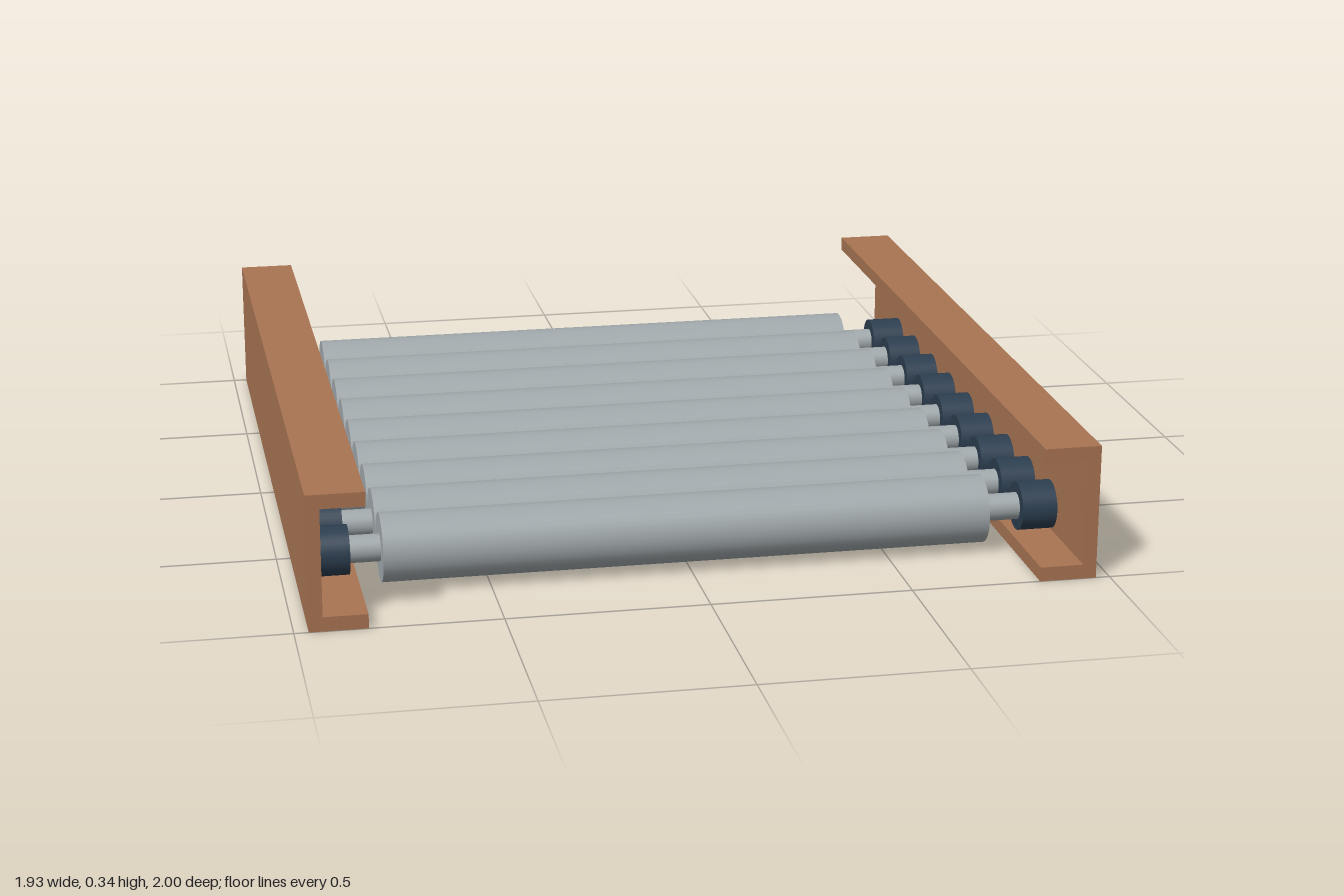
import * as THREE from 'three';

const LENGTH = 2, HALF_WIDTH = 0.965, HEIGHT = 0.341;
const AXLE_Y = 0.099, ROLLERS = 9, PITCH = 0.182;

export function createModel() {
  const model = new THREE.Group();
  model.name = 'rollerConveyor';

  const copper = new THREE.MeshStandardMaterial({ name: 'copper brown', color: 0xa87452 });
  const steel = new THREE.MeshStandardMaterial({ name: 'steel grey', color: 0xa0a8ab });
  const navy = new THREE.MeshStandardMaterial({ name: 'dark navy', color: 0x2c3e50 });

  const add = (parent, name, geometry, material, x = 0, y = 0, z = 0) => {
    const mesh = new THREE.Mesh(geometry, material);
    mesh.name = name;
    mesh.position.set(x, y, z);
    parent.add(mesh);
    return mesh;
  };

  // Cylinder lying along x
  const bar = (radius, length) =>
    new THREE.CylinderGeometry(radius, radius, length, 40).rotateZ(Math.PI / 2);

  // C-channel side rails, open towards the middle
  const depth = 0.142, web = 0.034, flange = 0.036;
  const channel = new THREE.Shape([
    [0, 0], [depth, 0], [depth, flange], [web, flange],
    [web, HEIGHT - flange], [depth, HEIGHT - flange], [depth, HEIGHT], [0, HEIGHT],
  ].map(([x, y]) => new THREE.Vector2(x, y)));
  const railGeometry = new THREE.ExtrudeGeometry(channel, { depth: LENGTH, bevelEnabled: false });
  railGeometry.translate(0, 0, -LENGTH / 2);
  add(model, 'rightRail', railGeometry, copper, -HALF_WIDTH);
  add(model, 'leftRail', railGeometry, copper, HALF_WIDTH).rotation.y = Math.PI;

  // Rollers, each with a through shaft and a bearing at both ends
  const rollerGeometry = bar(0.0855, 1.514);
  const shaftGeometry = bar(0.034, 1.862);
  const bearingGeometry = bar(0.0615, 0.09);
  for (let i = 0; i < ROLLERS; i++) {
    const unit = new THREE.Group();
    unit.name = `rollerUnit${i + 1}`;
    unit.position.set(0, AXLE_Y, (i - (ROLLERS - 1) / 2) * PITCH - 0.002);
    add(unit, 'roller', rollerGeometry, steel, -0.008);
    add(unit, 'shaft', shaftGeometry, steel);
    for (const side of [-1, 1]) add(unit, 'bearing', bearingGeometry, navy, side * 0.887);
    model.add(unit);
  }

  return model;
}
